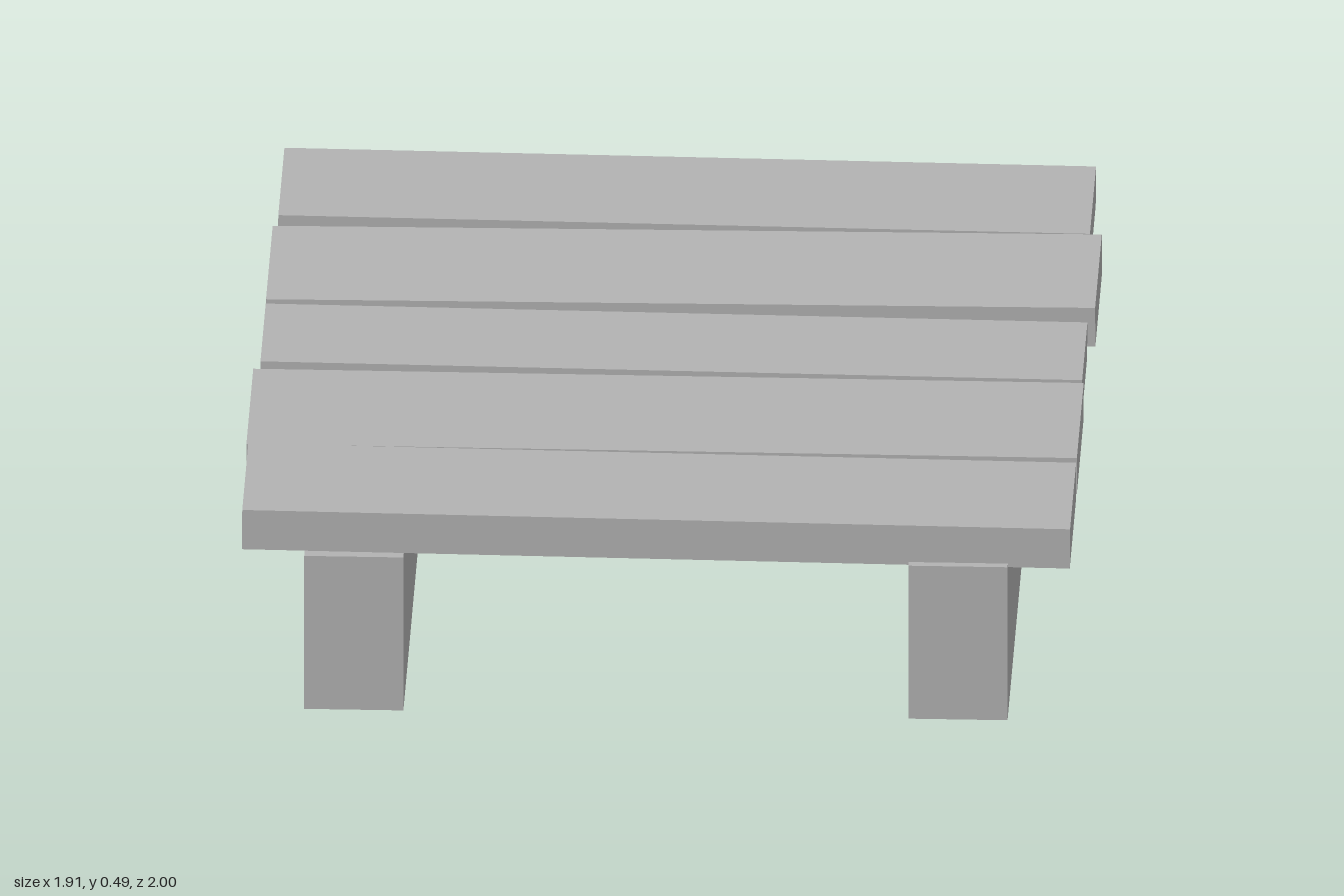
import * as THREE from 'three';

export function createModel() {
  const group = new THREE.Group();
  group.name = 'woodenPlatform';
  const grey = new THREE.MeshStandardMaterial({ color: 0xb3b3b3 });
  grey.name = 'plain grey';

  // Two long support beams running front to back
  for (const [name, x0, x1] of [['rightBeam', -0.81, -0.583], ['leftBeam', 0.573, 0.8]]) {
    const beam = new THREE.Mesh(new THREE.BoxGeometry(x1 - x0, 0.386, 2), grey);
    beam.position.set((x0 + x1) / 2, 0.193, 0);
    beam.name = name;
    group.add(beam);
  }

  // Five uneven planks: x range, z range, top height at -x end and +x end, thickness
  const planks = [
    [-0.932, 0.926, -0.987, -0.622, 0.488, 0.474, 0.098],
    [-0.943, 0.955, -0.592, -0.194, 0.475, 0.487, 0.097],
    [-0.943, 0.938, -0.160, 0.153, 0.480, 0.466, 0.090],
    [-0.958, 0.943, 0.185, 0.592, 0.476, 0.474, 0.090],
    [-0.953, 0.942, 0.619, 0.980, 0.490, 0.475, 0.099],
  ];
  planks.forEach(([x0, x1, z0, z1, topA, topB, thick], i) => {
    const plank = new THREE.Mesh(new THREE.BoxGeometry(x1 - x0, thick, z1 - z0), grey);
    plank.position.set((x0 + x1) / 2, (topA + topB - thick * 2) / 2 + thick / 2, (z0 + z1) / 2);
    plank.rotation.z = Math.atan2(topB - topA, x1 - x0);
    plank.name = `plank${i + 1}`;
    group.add(plank);
  });

  return group;
}
